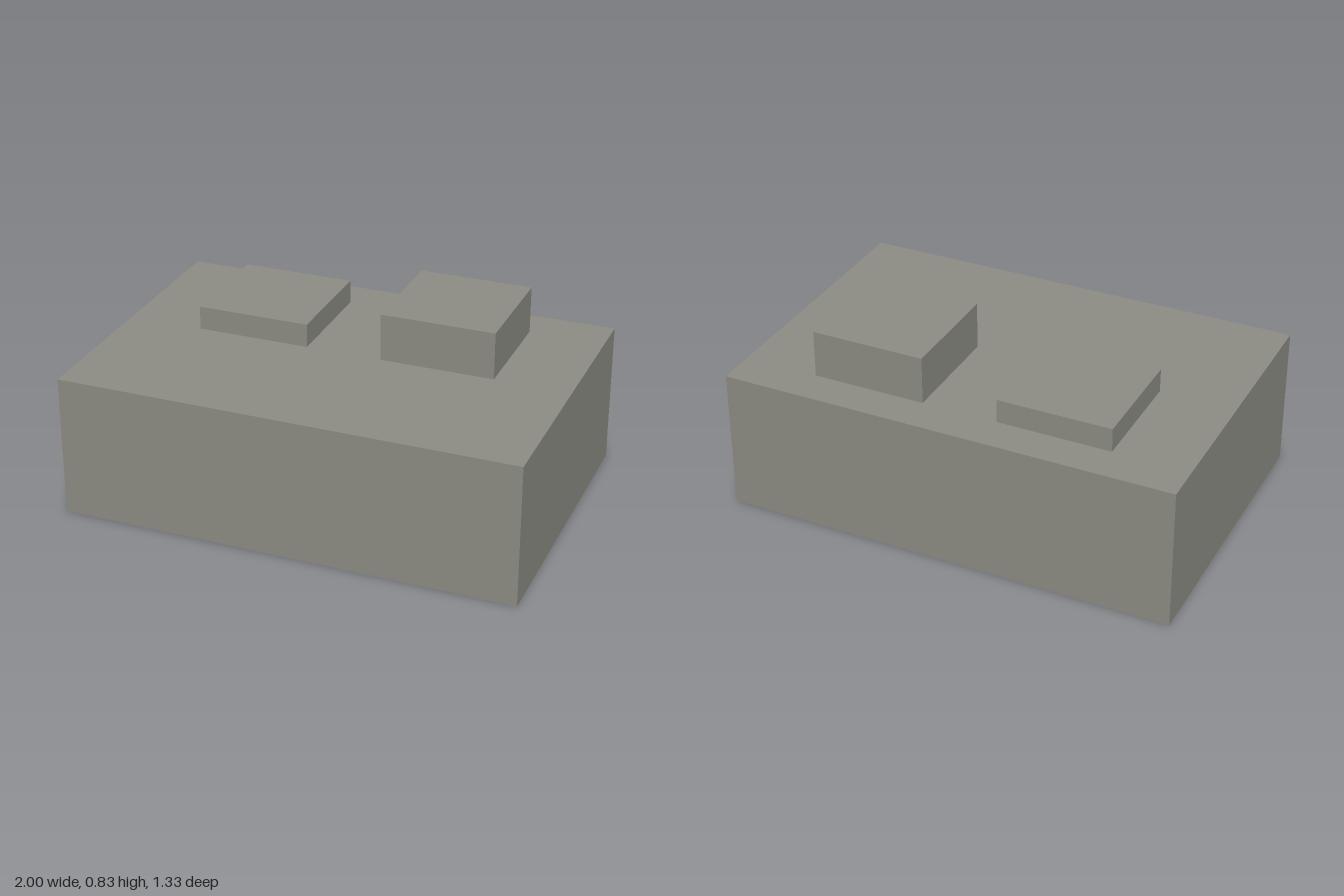
import * as THREE from 'three';

const stone = new THREE.MeshStandardMaterial({ color: 0x8d8d84, side: THREE.DoubleSide });
stone.name = 'stone grey';

// A box shell with no floor, standing on y = 0
function openBox(name, x0, x1, z0, z1, height) {
  const geometry = new THREE.BoxGeometry(x1 - x0, height, z1 - z0);
  const index = Array.from(geometry.index.array);
  index.splice(18, 6); // drop the underside
  geometry.setIndex(index);
  geometry.clearGroups();
  geometry.translate((x0 + x1) / 2, height / 2, (z0 + z1) / 2);
  const mesh = new THREE.Mesh(geometry, stone);
  mesh.name = name;
  return mesh;
}

export function createModel() {
  const model = new THREE.Group();
  model.name = 'steppedBlock';

  const top = 0.625;          // height of the main slab
  const edge = 2 / 3;         // half depth, and outer side of the raised blocks
  const inner = 1 / 6;        // inner side of the raised blocks

  // Front half of the slab, and the bay between the raised blocks
  model.add(openBox('frontSlab', -1, 1, 0, edge, top));
  model.add(openBox('middleBay', -inner, inner, -edge, 0, top));

  // Side bays, back strips and the two raised blocks
  for (const [side, label, height] of [[1, 'left', 0.833], [-1, 'right', 0.729]]) {
    const span = (a, b) => (side > 0 ? [a, b] : [-b, -a]);
    model.add(openBox(label + 'SideBay', ...span(edge, 1), -edge, 0, top));
    model.add(openBox(label + 'BackStrip', ...span(inner, edge), -edge, -0.5, top));
    model.add(openBox(label + 'RaisedBlock', ...span(inner, edge), -0.5, 0, height));
  }
  return model;
}
